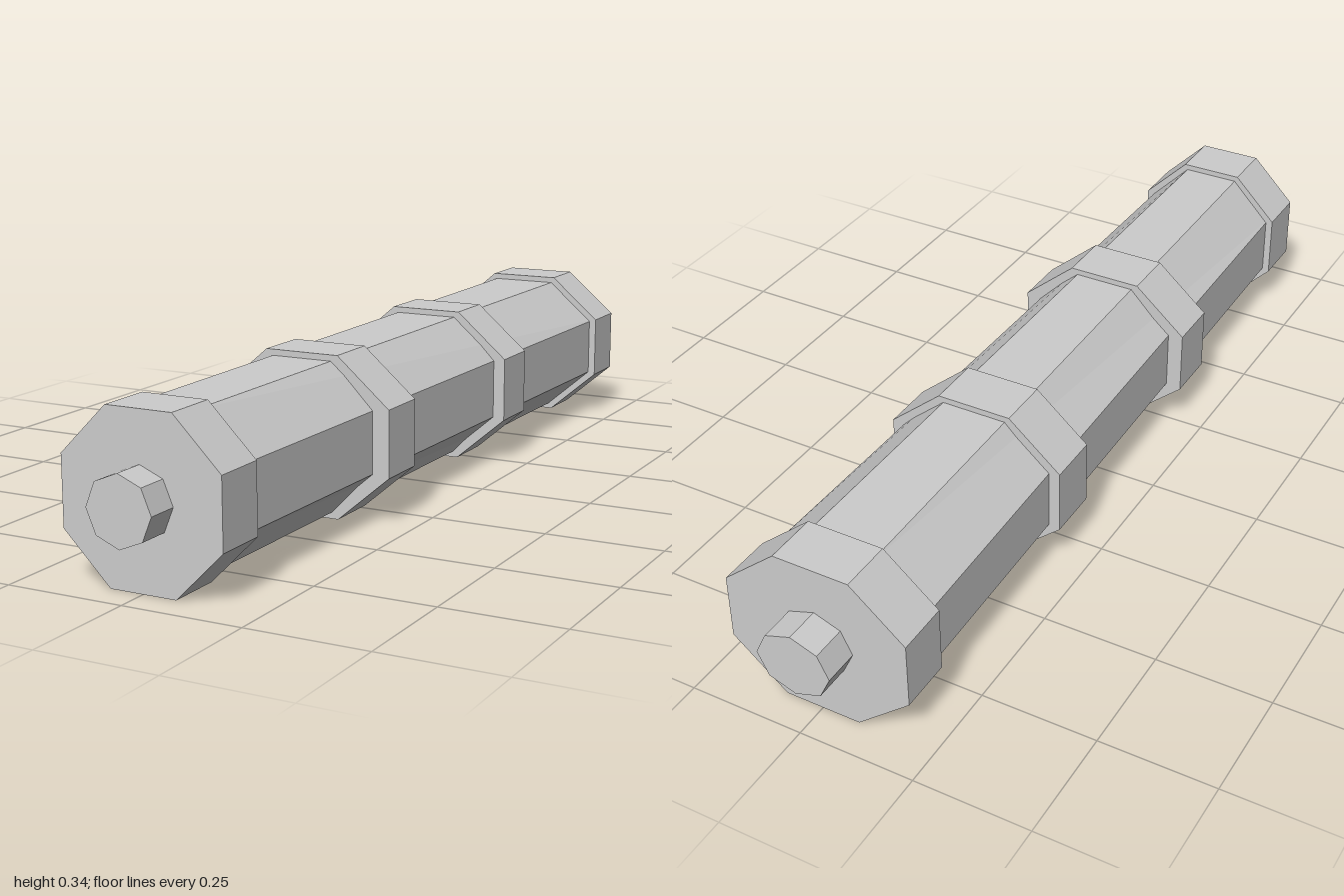
import * as THREE from 'three';

const CENTRE_Y = 0.172;

export function createModel() {
  const model = new THREE.Group();
  model.name = 'segmentedRod';
  const grey = new THREE.MeshStandardMaterial({ color: 0xcccccc });
  grey.name = 'light grey';
  grey.flatShading = true;

  // Eight-sided prism along z; half-widths in x may differ at front and back.
  function octagon(name, zBack, zFront, halfHeight, widthBack, widthFront, flatTop = true) {
    const radius = flatTop ? halfHeight / Math.cos(Math.PI / 8) : halfHeight;
    const geometry = new THREE.CylinderGeometry(
      radius, radius, zFront - zBack, 8, 1, false, flatTop ? Math.PI / 8 : 0);
    geometry.rotateX(Math.PI / 2);
    const pos = geometry.attributes.position;
    for (let i = 0; i < pos.count; i++) {
      const width = pos.getZ(i) > 0 ? widthFront : widthBack;
      pos.setX(i, pos.getX(i) * width / halfHeight);
    }
    geometry.computeVertexNormals();
    const mesh = new THREE.Mesh(geometry, grey);
    mesh.name = name;
    mesh.position.set(0, CENTRE_Y, (zBack + zFront) / 2);
    model.add(mesh);
  }

  // Long shaft, narrowing sideways toward the front
  octagon('shaft', -0.85, 0.85, 0.159, 0.184, 0.155);

  // Collars: the front one is narrower than the rest
  octagon('rearCollar', -0.924, -0.809, 0.172, 0.2, 0.2);
  octagon('rearMiddleCollar', -0.345, -0.227, 0.172, 0.2, 0.2);
  octagon('frontMiddleCollar', 0.234, 0.352, 0.172, 0.2, 0.2);
  octagon('frontCollar', 0.815, 0.932, 0.172, 0.172, 0.172);

  // End pins, with a corner pointing up
  octagon('rearPin', -1, -0.9, 0.07, 0.081, 0.081, false);
  octagon('frontPin', 0.9, 1, 0.07, 0.07, 0.07, false);

  return model;
}
